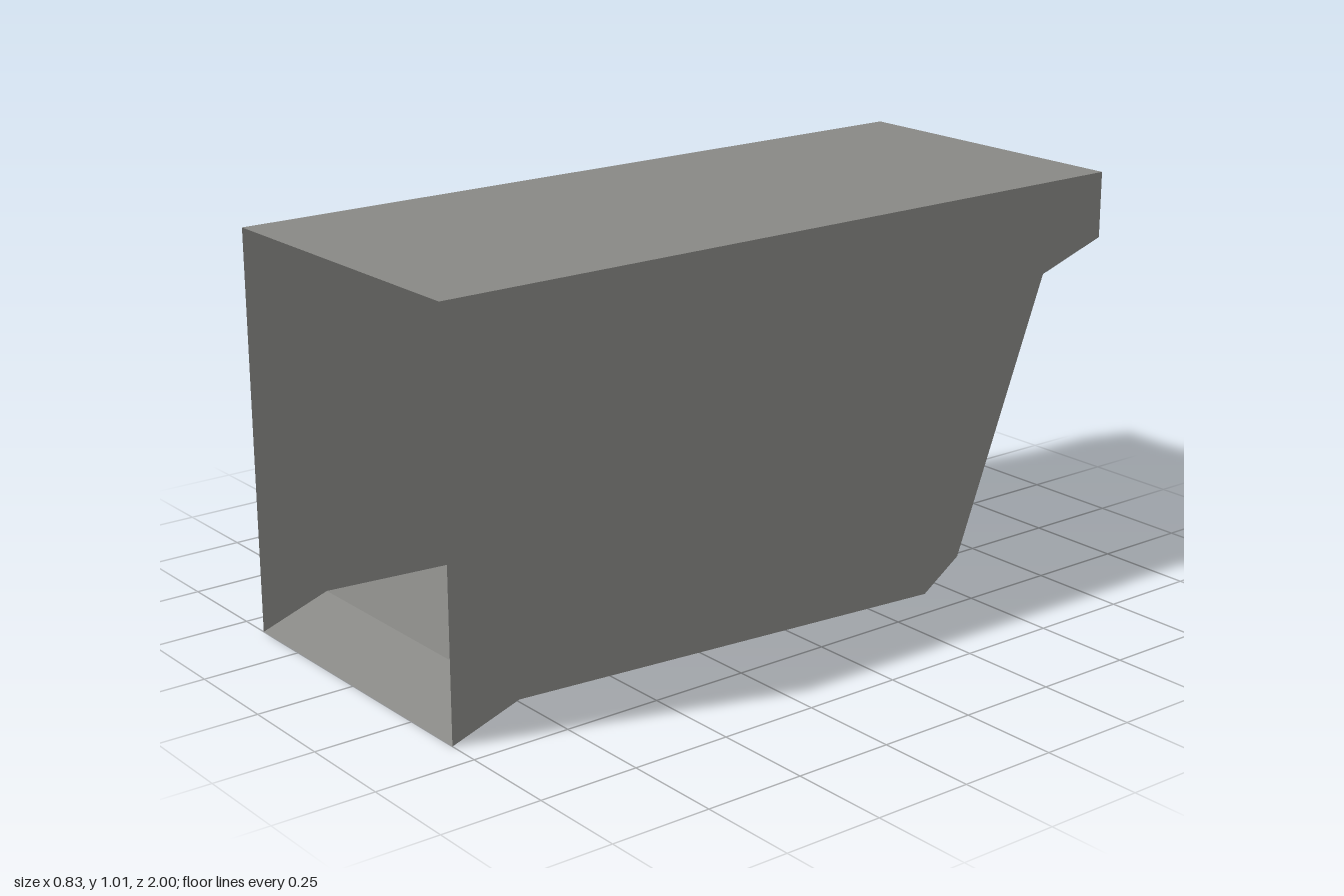
import * as THREE from 'three';

const HALF = 0.415;
// Side profile as [z, y], from the open front edge over the top and round the back
const PROFILE = [[1, 1.01], [-1, 1.01], [-1, 0.84], [-0.8, 0.775], [-0.53, 0.08], [-0.42, 0.005], [0.82, 0.062], [1, 0]];
const NAMES = ['roof', 'rearEdge', 'rearSoffit', 'lampFace', 'lowerChamfer', 'floor', 'frontLip'];

function roundedRect(path, w, h, r, cy) {
  const x = w / 2, b = cy - h / 2, t = cy + h / 2;
  path.moveTo(-x + r, b).lineTo(x - r, b).quadraticCurveTo(x, b, x, b + r)
    .lineTo(x, t - r).quadraticCurveTo(x, t, x - r, t)
    .lineTo(-x + r, t).quadraticCurveTo(-x, t, -x, t - r)
    .lineTo(-x, b + r).quadraticCurveTo(-x, b, -x + r, b);
  return path;
}

const circle = (path, r, cy) => path.absarc(0, cy, r, 0, Math.PI * 2, false);

export function createModel() {
  const material = (name, color) => {
    const m = new THREE.MeshStandardMaterial({ color, side: THREE.DoubleSide });
    m.name = name;
    return m;
  };
  const grey = material('housing grey', 0x888885);
  const black = material('panel black', 0x262626);
  const darkRed = material('ring dark red', 0x472626);
  const red = material('lens red', 0x963128);

  const group = new THREE.Group();
  group.name = 'lampHousing';
  const add = (parent, name, geometry, mat) => {
    const mesh = new THREE.Mesh(geometry, mat);
    mesh.name = name;
    parent.add(mesh);
    return mesh;
  };

  // Two flat side walls
  const sideShape = new THREE.Shape(PROFILE.map(([z, y]) => new THREE.Vector2(z, y)));
  for (const [name, x] of [['leftWall', HALF], ['rightWall', -HALF]]) {
    const g = new THREE.ShapeGeometry(sideShape);
    g.rotateY(x > 0 ? -Math.PI / 2 : Math.PI / 2);
    if (x < 0) g.scale(1, 1, -1);
    g.translate(x, 0, 0);
    // Keep the mirrored wall facing outward, and both normals true
    const a = g.index.array;
    const want = Math.sign(x);
    const p = g.attributes.position;
    const [A, B, C] = [0, 1, 2].map(i => new THREE.Vector3().fromBufferAttribute(p, a[i]));
    if (Math.sign(B.sub(A).cross(C.sub(A)).x) !== want) {
      for (let i = 0; i < a.length; i += 3) [a[i], a[i + 1]] = [a[i + 1], a[i]];
    }
    g.computeVertexNormals();
    add(group, name, g, grey);
  }

  // One strip across the width per profile segment; the front stays open
  NAMES.forEach((name, i) => {
    const [z0, y0] = PROFILE[i], [z1, y1] = PROFILE[i + 1];
    const dz = z1 - z0, dy = y1 - y0, len = Math.hypot(dz, dy);
    const strip = new THREE.Group();
    strip.name = name;
    strip.position.set(0, (y0 + y1) / 2, (z0 + z1) / 2);
    strip.rotation.x = Math.atan2(dz, dy);
    group.add(strip);
    if (name !== 'lampFace') {
      add(strip, name + 'Plate', new THREE.PlaneGeometry(2 * HALF, len), grey);
      return;
    }

    // Lamp face: frame, panel, ring and lens fitted into one another
    const face = (part, shape, hole, mat) => {
      if (hole) shape.holes.push(hole);
      add(strip, part, new THREE.ShapeGeometry(shape, 32), mat);
    };
    const panel = path => roundedRect(path, 0.736, 0.641, 0.05, 0.01);
    const frame = new THREE.Shape();
    frame.moveTo(-HALF, -len / 2).lineTo(HALF, -len / 2).lineTo(HALF, len / 2).lineTo(-HALF, len / 2);
    face('lampFrame', frame, panel(new THREE.Path()), grey);
    face('lampPanel', panel(new THREE.Shape()), circle(new THREE.Path(), 0.314, 0.007), black);
    face('lampRing', circle(new THREE.Shape(), 0.314, 0.007), circle(new THREE.Path(), 0.266, 0.007), darkRed);
    face('lampLens', circle(new THREE.Shape(), 0.266, 0.007), null, red);
  });
  return group;
}
